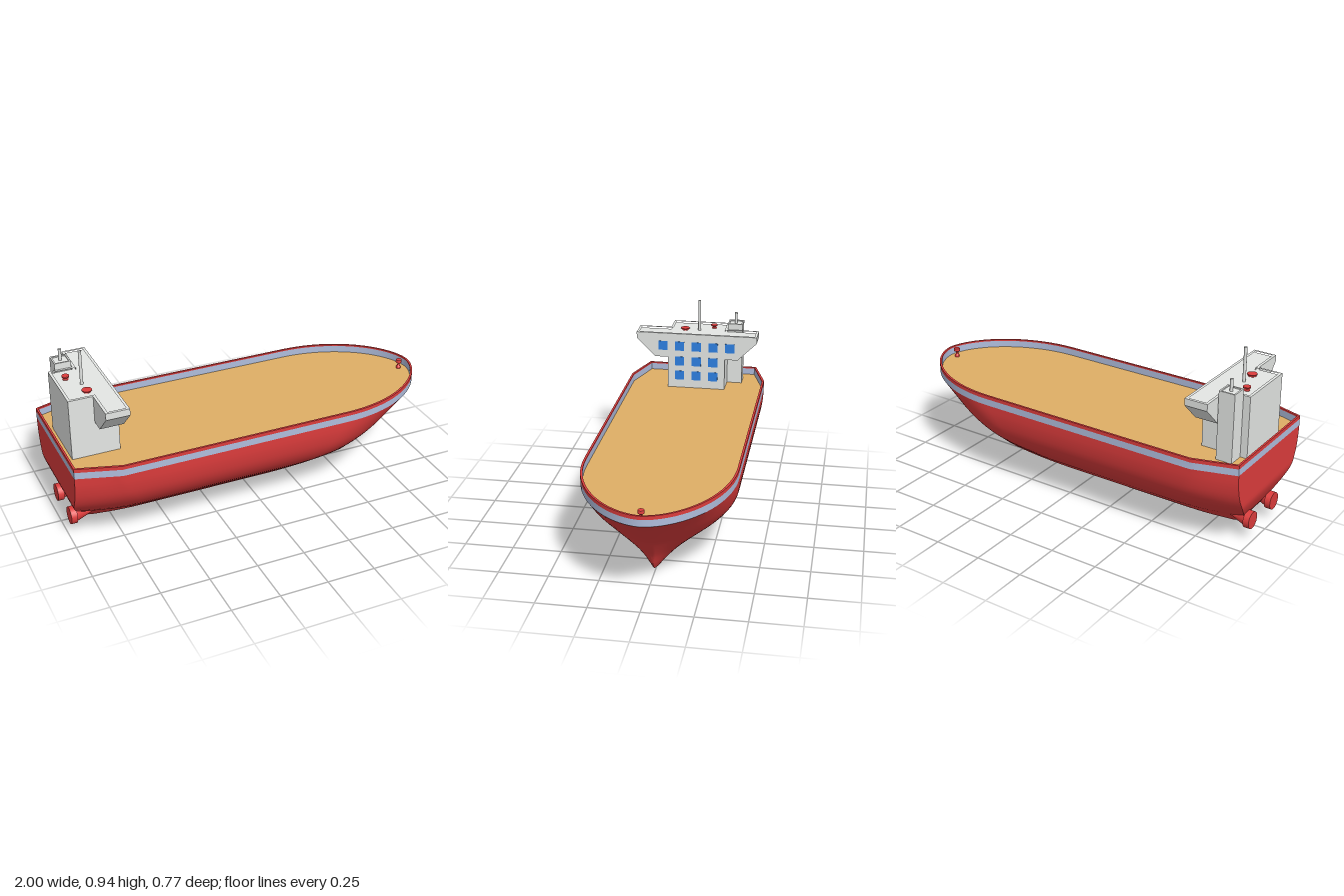
import * as THREE from 'three';
import { toCreasedNormals } from 'three/addons/utils/BufferGeometryUtils.js';

const paint = (name, color) => Object.assign(new THREE.MeshStandardMaterial({ color }), { name });

export function createModel() {
  const red = paint('hull red', 0xdc3c3c);
  const band = paint('band blue grey', 0xafbddc);
  const tan = paint('deck tan', 0xdfae66);
  const grey = paint('superstructure grey', 0xe4e6e4);
  const blue = paint('window blue', 0x2d80e2);

  const ship = new THREE.Group();
  ship.name = 'ship';
  const add = (name, geometry, material, x = 0, y = 0, z = 0) => {
    const mesh = new THREE.Mesh(geometry, material);
    mesh.name = name;
    mesh.position.set(x, y, z);
    ship.add(mesh);
  };

  // Skin between successive rows of points, optionally closed round
  const loft = (rows, closed) => {
    const n = rows[0].length, index = [];
    for (let i = 0; i < rows.length - 1; i++) {
      for (let j = 0; j < (closed ? n : n - 1); j++) {
        const k = (j + 1) % n;
        const a = i * n + j, b = i * n + k, c = b + n, d = a + n;
        index.push(a, b, c, a, c, d);
      }
    }
    const g = new THREE.BufferGeometry();
    g.setAttribute('position', new THREE.Float32BufferAttribute(rows.flat(2), 3));
    g.setIndex(index);
    return toCreasedNormals(g, 0.75);
  };

  // Waterlines: height, half beam, stern x, stern half width, aft shoulder x, fore shoulder x, stem x
  const levels = [
    [0.000, 0.020, -0.81, 0.012, -0.60, 0.00, 0.35],
    [0.016, 0.055, -0.85, 0.030, -0.60, 0.08, 0.60],
    [0.050, 0.100, -0.895, 0.055, -0.60, 0.12, 0.655],
    [0.090, 0.152, -0.925, 0.090, -0.60, 0.15, 0.678],
    [0.130, 0.205, -0.95, 0.140, -0.62, 0.18, 0.70],
    [0.200, 0.290, -0.985, 0.220, -0.65, 0.24, 0.75],
    [0.250, 0.336, -1.00, 0.265, -0.68, 0.28, 0.79],
    [0.310, 0.367, -1.00, 0.295, -0.72, 0.33, 0.85],
    [0.380, 0.381, -1.00, 0.311, -0.75, 0.38, 0.925],
    [0.440, 0.383, -1.00, 0.315, -0.78, 0.43, 1.00],
  ];
  const halfLine = ([y, beam, xs, ws, xa, xf, xb]) => {
    const pts = [], low = 1 - y / 0.44;
    for (let i = 0; i <= 6; i++) {
      const s = i / 6;
      pts.push([xs + (xa - xs) * s, y, ws + (beam - ws) * (1 - (1 - s) ** (1 + low))]);
    }
    for (let i = 1; i < 5; i++) pts.push([xa + (xf - xa) * i / 5, y, beam]);
    for (let i = 0; i <= 20; i++) {
      const t = Math.sin(i / 20 * Math.PI / 2);
      pts.push([xf + (xb - xf) * t, y, beam * Math.max(0, 1 - t * t) ** (0.58 + 0.15 * low)]);
    }
    return pts;
  };
  const mirror = (pts) => pts.map(([x, y, z]) => [x, y, -z]);
  const ring = (half) => [...half, ...mirror(half).reverse().slice(1)];

  // Hull: waterlines joined by smooth curves, with a flat keel
  const lines = levels.map(halfLine);
  const deckLine = lines[lines.length - 1];
  const ribs = deckLine.map((_, j) => new THREE.CatmullRomCurve3(
    lines.map((l) => new THREE.Vector3(...l[j])), false, 'catmullrom'));
  const rows = Array.from({ length: 28 }, (_, i) => ribs.map((rib) => {
    const p = rib.getPoint(i / 27);
    return [Math.max(-1, p.x), p.y, p.z];
  }));
  add('hull', loft(rows.map(ring), true), red);
  add('keel', loft([mirror(lines[0]), lines[0]]), red);

  // Bulwark bands, rim and deck
  const outer = (y) => ring(deckLine.map(([x, , z]) => [x, y, z]));
  const innerHalf = (y) => deckLine.map(([x, , z]) => [x * 0.99, y, z * 0.972]);
  const inner = (y) => ring(innerHalf(y));
  add('bulwarkBand', loft([outer(0.44), outer(0.475)], true), band);
  add('bulwarkTop', loft([outer(0.475), outer(0.494)], true), red);
  add('rim', loft([outer(0.494), inner(0.494)], true), red);
  add('innerBulwarkTop', loft([inner(0.494), inner(0.486)], true), red);
  add('innerBulwark', loft([inner(0.486), inner(0.45)], true), band);
  add('deck', loft([innerHalf(0.45), mirror(innerHalf(0.45))]), tan);

  // Bridge front with overhanging wings
  const profile = [[0.162, 0.44], [0.162, 0.63], [0.235, 0.63], [0.342, 0.735], [0.342, 0.757]];
  const bridge = new THREE.Shape([
    ...profile, ...profile.map(([z, y]) => [-z, y]).reverse(),
  ].map((p) => new THREE.Vector2(...p)));
  const bridgeGeo = new THREE.ExtrudeGeometry(bridge, { depth: 0.12, bevelEnabled: false });
  bridgeGeo.rotateY(-Math.PI / 2);
  add('bridge', bridgeGeo, grey, -0.716);
  add('rearHouse', new THREE.BoxGeometry(0.126, 0.317, 0.324), grey, -0.897, 0.5985, 0);

  // Raised edge around a flat roof
  const parapet = (name, outline, hole, top, depth) => {
    const vec = (pts) => pts.map((p) => new THREE.Vector2(...p));
    const shape = new THREE.Shape(vec(outline));
    shape.holes.push(new THREE.Path(vec(hole)));
    const g = new THREE.ExtrudeGeometry(shape, { depth, bevelEnabled: false });
    g.rotateX(Math.PI / 2);
    add(name, g, grey, 0, top, 0);
  };
  const tee = (e) => {
    const h = [[-0.96 + e, 0.162 - e], [-0.836 + e, 0.162 - e], [-0.836 + e, 0.342 - e], [-0.716 - e, 0.342 - e]];
    return [...h, ...h.map(([x, z]) => [x, -z]).reverse()];
  };
  parapet('roofParapet', tee(0), tee(0.014), 0.77, 0.013);

  // Funnel and its exhaust pipe
  const square = (r) => [[-1, -1], [1, -1], [1, 1], [-1, 1]].map(([a, b]) => [-0.882 + a * r, -0.205 + b * r]);
  add('funnel', new THREE.BoxGeometry(0.084, 0.358, 0.084), grey, -0.882, 0.619, -0.205);
  parapet('funnelEdge', square(0.042), square(0.034), 0.804, 0.006);
  add('exhaustPipe', new THREE.CylinderGeometry(0.008, 0.008, 0.07, 12), grey, -0.882, 0.825, -0.205);
  add('mast', new THREE.CylinderGeometry(0.008, 0.008, 0.185, 12), grey, -0.84, 0.8425, 0);

  // Window rows on the bridge front
  [[0.523, 1], [0.608, 1], [0.697, 2]].forEach(([y, side]) => {
    for (let i = -side; i <= side; i++) {
      add('window', new THREE.BoxGeometry(0.004, 0.053, 0.053), blue, -0.7165, y, i * 0.0955);
    }
  });

  // Mushroom vents on roof and bow
  const vent = (name, r, h, x, y, z) => {
    const pts = [[0, 0], [0.8 * r, 0], [0.8 * r, 0.15 * h], [0.4 * r, 0.35 * h], [0.4 * r, 0.55 * h],
      [r, 0.68 * h], [r, 0.97 * h], [0.95 * r, h], [0, h]].map((p) => new THREE.Vector2(...p));
    add(name, toCreasedNormals(new THREE.LatheGeometry(pts, 16), 0.5), red, x, y, z);
  };
  vent('roofVent', 0.019, 0.022, -0.897, 0.756, -0.078);
  vent('roofVent', 0.025, 0.013, -0.841, 0.756, 0.082);
  vent('bowVent', 0.016, 0.05, 0.948, 0.45, 0);

  // Twin thrusters: ring and tapered hub
  for (const z of [-0.112, 0.112]) {
    const along = (rBack, rFront, length) =>
      new THREE.CylinderGeometry(rFront, rBack, length, 24).rotateZ(-Math.PI / 2);
    add('thrusterRing', along(0.045, 0.045, 0.032), red, -0.97, 0.1, z);
    add('thrusterHub', along(0.038, 0.006, 0.09), red, -0.91, 0.1, z);
  }
  return ship;
}
